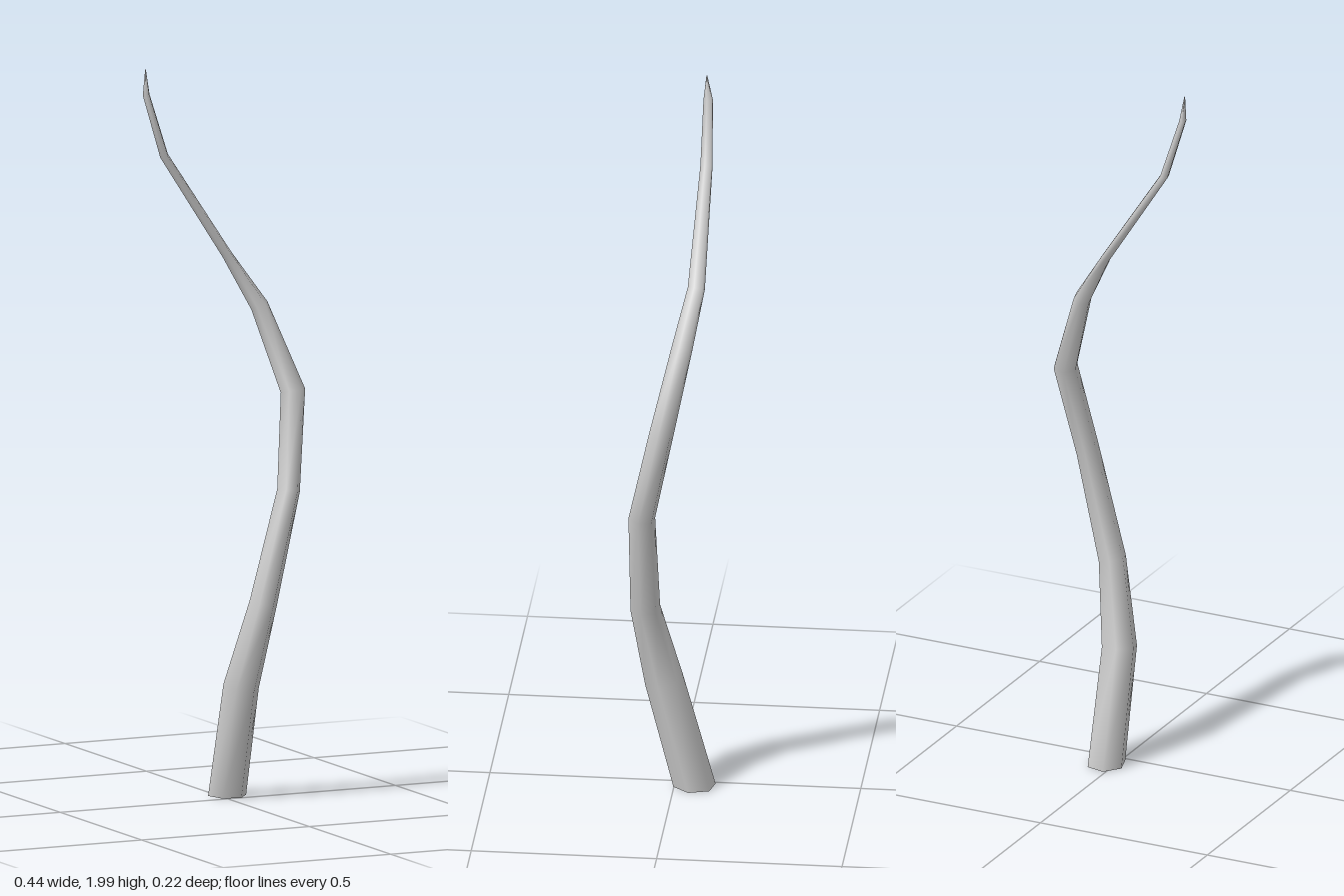
import * as THREE from 'three';

const SIDES = 6;
const PHASE = 0.21;

// Stations along the stem: centre x, y, z, then half-width across and half-width in depth
const STATIONS = [
  [0.024, 0.01, -0.054, 0.052, 0.058],
  [0.026, 0.32, 0.028, 0.049, 0.053],
  [0.07, 0.55, 0.074, 0.038, 0.041],
  [0.144, 0.85, 0.076, 0.031, 0.037],
  [0.184, 1.11, 0.021, 0.034, 0.034],
  [0.108, 1.34, -0.029, 0.024, 0.029],
  [0.026, 1.48, -0.059, 0.013, 0.024],
  [-0.157, 1.76, -0.068, 0.011, 0.017],
  [-0.211, 1.93, -0.067, 0.009, 0.013],
  [-0.215, 2.0, -0.063, 0.001, 0.001],
];

function stemGeometry() {
  const centres = STATIONS.map(([x, y, z]) => new THREE.Vector3(x, y, z));
  const last = centres.length - 1;
  const positions = [];
  const index = [];

  // One ring per station, square to the direction of growth
  centres.forEach((c, k) => {
    const t = new THREE.Vector3(0, 1, 0);
    if (k > 0) {
      t.subVectors(c, centres[k - 1]).normalize();
      if (k < last) t.add(centres[k + 1].clone().sub(c).normalize()).normalize();
    }
    const depth = new THREE.Vector3(0, 0, 1).addScaledVector(t, -t.z).normalize();
    const across = new THREE.Vector3().crossVectors(t, depth);
    for (let i = 0; i < SIDES; i++) {
      const a = PHASE + (i / SIDES) * Math.PI * 2;
      const p = c.clone()
        .addScaledVector(across, Math.cos(a) * STATIONS[k][3])
        .addScaledVector(depth, Math.sin(a) * STATIONS[k][4]);
      positions.push(p.x, p.y, p.z);
    }
  });

  // Skin between neighbouring rings
  for (let k = 0; k < last; k++) {
    for (let i = 0; i < SIDES; i++) {
      const j = (i + 1) % SIDES;
      const a = k * SIDES + i, b = k * SIDES + j;
      index.push(a, a + SIDES, b, b, a + SIDES, b + SIDES);
    }
  }

  // Flat cut at the foot, with its own corners to keep the edge sharp
  const foot = positions.length / 3;
  positions.push(...positions.slice(0, SIDES * 3));
  for (let i = 1; i < SIDES - 1; i++) index.push(foot, foot + i, foot + i + 1);

  const g = new THREE.BufferGeometry();
  g.setAttribute('position', new THREE.Float32BufferAttribute(positions, 3));
  g.setIndex(index);
  g.computeVertexNormals();
  return g;
}

export function createModel() {
  const group = new THREE.Group();
  group.name = 'twistedBranch';
  const stem = new THREE.Mesh(stemGeometry(), new THREE.MeshStandardMaterial({ color: 0xcccccc }));
  stem.name = 'stem';
  group.add(stem);
  return group;
}
